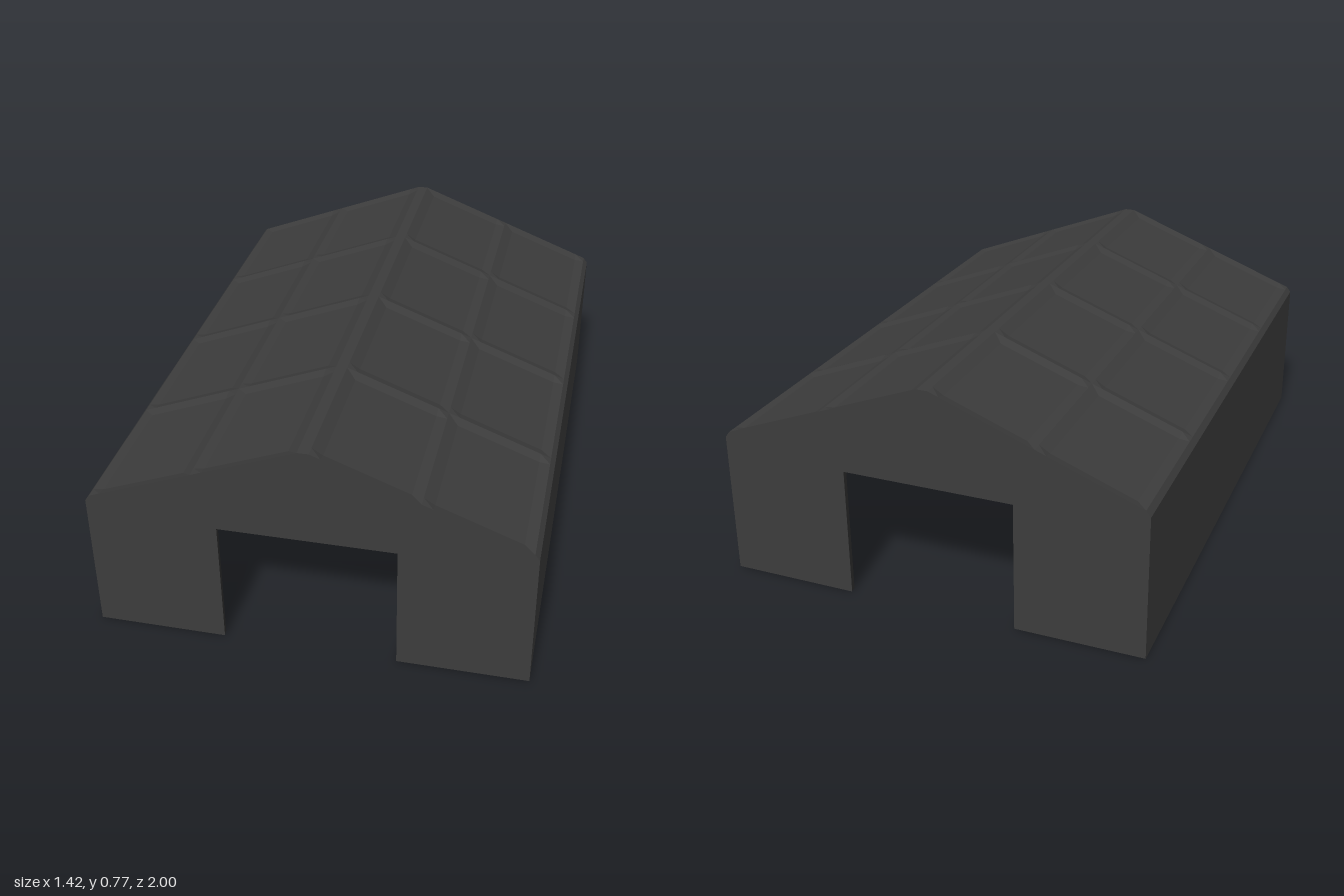
import * as THREE from 'three';

const fabric = new THREE.MeshStandardMaterial({ color: 0x3c3c3c, side: THREE.DoubleSide, flatShading: true });
const metal = new THREE.MeshStandardMaterial({ color: 0x303030 });

const HALF_W = 0.71, HALF_L = 1, DOOR_X = 0.285, DOOR_Y = 0.44;
const EAVE = [0.695, 0.505], RIDGE = [0.018, 0.765], WALL_TOP = 0.485;
const RIBS = [-1, -0.5, 0, 0.5, 1];
const SAG = 0.009, HEM = 0.035;

const roofY = (x) => {
  const t = (Math.abs(x) - RIDGE[0]) / (EAVE[0] - RIDGE[0]);
  return RIDGE[1] + (EAVE[1] - RIDGE[1]) * Math.max(0, t);
};

// Cover: a grid over the cross-section, sinking slightly between the frame bars
function coverGeometry() {
  const half = [[HALF_W, 0, 0], [HALF_W, WALL_TOP, 0], [EAVE[0], EAVE[1], 0]];
  for (const [x, s] of [[EAVE[0] - HEM, 1], [0.355 + HEM, 1], [0.355, 0], [0.355 - HEM, 1], [RIDGE[0] + HEM, 1], [RIDGE[0], 0]])
    half.push([x, roofY(x), s]);
  const section = [...half, ...half.slice().reverse().map(([x, y, s]) => [-x, y, s])];
  const rows = [];
  RIBS.forEach((z, i) => {
    if (i > 0) rows.push([z - HEM, 1]);
    rows.push([z, 0]);
    if (i < RIBS.length - 1) rows.push([z + HEM, 1]);
  });
  const pos = [], index = [], n = section.length;
  for (const [z, sr] of rows)
    for (const [x, y, s] of section) pos.push(x, y - SAG * s * sr, z);
  for (let r = 0; r < rows.length - 1; r++)
    for (let c = 0; c < n - 1; c++) {
      const a = r * n + c, b = a + 1, d = a + n, e = d + 1;
      index.push(a, b, d, b, e, d);
    }
  const g = new THREE.BufferGeometry();
  g.setAttribute('position', new THREE.Float32BufferAttribute(pos, 3));
  g.setIndex(index);
  g.computeVertexNormals();
  return g;
}

// Gable wall with an open doorway
function gableGeometry() {
  const right = [[DOOR_X, DOOR_Y], [DOOR_X, 0], [HALF_W, 0], [HALF_W, WALL_TOP], EAVE, RIDGE];
  const left = right.slice().reverse().map(([x, y]) => [-x, y]);
  return new THREE.ShapeGeometry(new THREE.Shape([...right, ...left].map((p) => new THREE.Vector2(...p))));
}

// Square bar between two points
function bar(name, a, b, size = 0.016) {
  const from = new THREE.Vector3(...a), to = new THREE.Vector3(...b);
  const mesh = new THREE.Mesh(new THREE.BoxGeometry(size, size, from.distanceTo(to)), metal);
  mesh.position.copy(from).add(to).multiplyScalar(0.5);
  mesh.lookAt(to);
  mesh.name = name;
  return mesh;
}

export function createModel() {
  const model = new THREE.Group();
  model.name = 'frameTent';

  const cover = new THREE.Mesh(coverGeometry(), fabric);
  cover.name = 'cover';
  model.add(cover);

  const frame = new THREE.Group();
  frame.name = 'frame';
  model.add(frame);

  const postX = HALF_W - 0.01, drop = 0.018, eaveY = 0.48;

  // Ribs: side posts and rafters
  for (const rib of RIBS) {
    const z = rib * (HALF_L - 0.012);
    for (const s of [-1, 1]) {
      frame.add(bar('sidePost', [s * postX, 0, z], [s * postX, eaveY, z]));
      frame.add(bar('rafter', [s * (postX - 0.005), roofY(postX) - drop, z], [0, RIDGE[1] - drop, z]));
    }
  }

  // Lengthwise bars
  const zEnd = HALF_L - 0.005;
  for (const x of [-0.355, 0, 0.355])
    frame.add(bar('purlin', [x, roofY(x) - drop, -zEnd], [x, roofY(x) - drop, zEnd]));
  for (const s of [-1, 1])
    frame.add(bar('eaveBar', [s * (postX - 0.005), eaveY, -zEnd], [s * (postX - 0.005), eaveY, zEnd]));

  // End walls with door posts, header and king post
  for (const s of [-1, 1]) {
    const wall = new THREE.Mesh(gableGeometry(), fabric);
    wall.name = s > 0 ? 'frontWall' : 'backWall';
    wall.position.z = s * HALF_L;
    if (s < 0) wall.rotation.y = Math.PI;
    model.add(wall);

    const z = s * (HALF_L - 0.012), beamY = DOOR_Y + 0.01;
    frame.add(bar('header', [-postX, beamY, z], [postX, beamY, z]));
    frame.add(bar('kingPost', [0, beamY, z], [0, RIDGE[1] - drop, z]));
    for (const side of [-1, 1]) {
      const x = side * (DOOR_X + 0.01);
      frame.add(bar('doorPost', [x, 0, z], [x, beamY, z]));
    }
  }
  return model;
}
